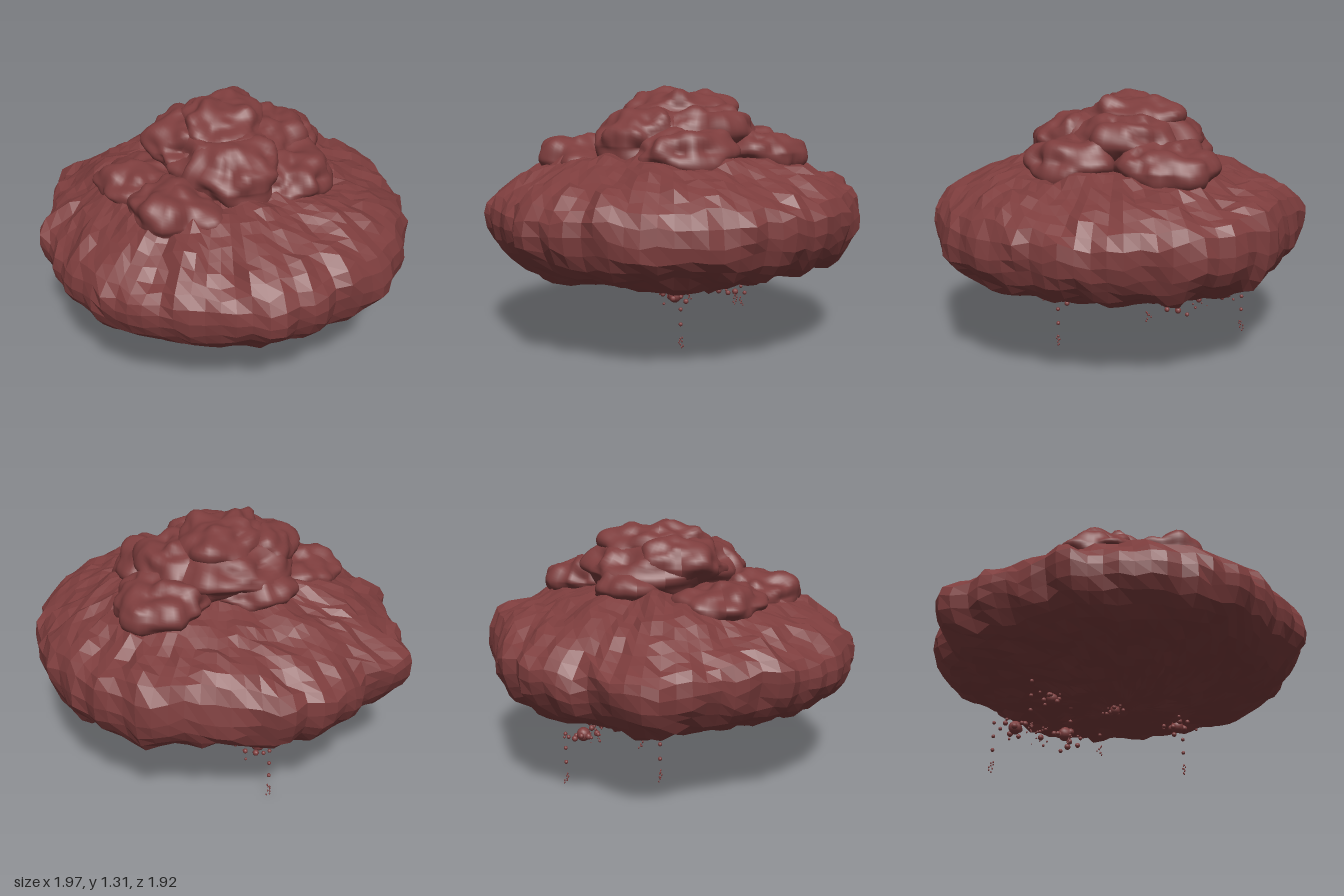
import * as THREE from 'three';

const material = new THREE.MeshStandardMaterial({ color: 0x7d3d3d, flatShading: true, side: THREE.DoubleSide });
const smoothMaterial = new THREE.MeshStandardMaterial({ color: 0x7d3d3d });

// Smooth value noise in the range -1..1
const hash = (x, y, z) => {
  const s = Math.sin(x * 127.1 + y * 311.7 + z * 74.7) * 43758.5453;
  return (s - Math.floor(s)) * 2 - 1;
};
const fade = t => t * t * (3 - 2 * t);
const mix = THREE.MathUtils.lerp;
function noise(x, y, z) {
  const [i, j, k] = [x, y, z].map(Math.floor);
  const u = fade(x - i), v = fade(y - j), w = fade(z - k);
  const row = (b, c) => mix(hash(i, b, c), hash(i + 1, b, c), u);
  return mix(mix(row(j, k), row(j + 1, k), v), mix(row(j, k + 1), row(j + 1, k + 1), v), w);
}

function moveVertices(geometry, rule) {
  const p = geometry.attributes.position, v = new THREE.Vector3();
  for (let i = 0; i < p.count; i++) {
    v.fromBufferAttribute(p, i);
    rule(v);
    p.setXYZ(i, v.x, v.y, v.z);
  }
  geometry.computeVertexNormals();
  return geometry;
}

// Outline radius every 15 degrees, from +x towards +z
const rim = [1.0, 1.01, 1.02, 0.98, 1.02, 0.98, 0.97, 1, 0.99, 0.96, 0.98, 0.92,
  0.98, 1.06, 0.94, 1.0, 1.0, 0.95, 0.97, 1.01, 1.01, 1.02, 1, 1];
function rimRadius(angle) {
  const t = ((angle / (Math.PI * 2) + 1) % 1) * rim.length;
  const i = Math.floor(t);
  return mix(rim[i % rim.length], rim[(i + 1) % rim.length], t - i);
}

// Broad, faceted main mass: a turned profile roughened by noise
function cloudBody() {
  const profile = [[0, 0.29], [0.3, 0.305], [0.57, 0.35], [0.78, 0.4], [0.9, 0.46], [0.97, 0.55],
    [0.99, 0.64], [0.97, 0.72], [0.9, 0.78], [0.76, 0.86], [0.6, 0.93], [0.42, 0.97], [0, 1]];
  const curve = new THREE.SplineCurve(profile.map(([r, y]) => new THREE.Vector2(r, y)));
  const points = curve.getSpacedPoints(34);
  points[0].x = points[34].x = 0;
  const geometry = moveVertices(new THREE.LatheGeometry(points, 84), v => {
    const { x, y, z } = v;
    const r = Math.hypot(x, z) || 1;
    const angle = Math.atan2(z, x);
    const ridge = noise(x / r * 11 + 40, y * 7, z / r * 11);
    const teeth = Math.cos(angle * 28 + 2 * noise(1, y * 6, 1));
    const swell = rimRadius(angle) * (0.975 + 0.025 * ridge + 0.012 * teeth);
    v.x *= swell;
    v.z *= swell;
    // The upper side leans up towards +x and the back edge
    const upper = THREE.MathUtils.smoothstep(y, 0.6, 0.8);
    v.y += upper * (0.03 * x * r + 0.06 * THREE.MathUtils.smoothstep(-z, 0.72, 0.92));
    v.y += 0.03 * noise(x * 9 + 20, y * 5, z * 9) + 0.02 * noise(x * 17, y * 9, z * 17 + 8);
  });
  return new THREE.Mesh(geometry, material);
}

// Knobbly lump with steep sides and a flattened top
function billow([x, y, z], [rx, ry, rz]) {
  const geometry = moveVertices(new THREE.SphereGeometry(1, 52, 34), v => {
    const n = v.clone();
    const steep = Math.sign(n.y) * Math.abs(n.y) ** 1.3;
    const wide = Math.min(Math.hypot(n.x, n.z) ** -0.3, 1.6);
    v.set(n.x * wide * rx, steep * ry, n.z * wide * rz);
    const a = v.x + x, b = v.y + y, c = v.z + z;
    const bump = 0.05 * noise(a * 8, b * 8, c * 8) + 0.03 * noise(a * 15 + 9, b * 15, c * 15);
    v.addScaledVector(n, bump);
  });
  const mesh = new THREE.Mesh(geometry, smoothMaterial);
  mesh.position.set(x, y, z);
  return mesh;
}

function droplet(x, y, z, r, stretch = 1) {
  const mesh = new THREE.Mesh(new THREE.SphereGeometry(r, 10, 7), smoothMaterial);
  mesh.position.set(x, y, z);
  mesh.scale.y = stretch;
  return mesh;
}

export function createModel() {
  const group = new THREE.Group();
  const add = (name, object, parent = group) => {
    object.name = name;
    parent.add(object);
    return object;
  };
  add('cloudBody', cloudBody());

  // Billows heaped on top, merging into one mound
  const crown = add('crown', new THREE.Group());
  [
    [[-0.02, 1.05, -0.06], [0.36, 0.17, 0.4]],
    [[-0.01, 1.17, -0.07], [0.22, 0.14, 0.29]],
    [[-0.19, 1.09, 0.02], [0.19, 0.14, 0.26]],
    [[0.16, 1.06, -0.14], [0.23, 0.15, 0.29]],
    [[0.2, 0.97, -0.38], [0.25, 0.13, 0.25]],
    [[0.36, 0.97, 0.04], [0.19, 0.13, 0.26]],
    [[0.1, 1.01, 0.2], [0.27, 0.16, 0.24]],
    [[-0.34, 0.93, 0.2], [0.24, 0.1, 0.24]],
    [[-0.12, 0.92, 0.44], [0.24, 0.12, 0.2]],
    [[-0.15, 0.98, -0.2], [0.24, 0.14, 0.22]],
  ].forEach(([at, size], i) => add('billow' + i, billow(at, size), crown));

  // Clusters of beads under the body: x, y, z, size of the largest bead
  const beads = add('beads', new THREE.Group());
  [
    [-0.27, 0.24, -0.47, 0.036], [-0.02, 0.24, -0.35, 0.038], [0.38, 0.28, 0.1, 0.034],
    [-0.36, 0.28, -0.1, 0.028], [-0.03, 0.28, 0.02, 0.026], [-0.15, 0.2, -0.4, 0.016],
  ].forEach(([x, y, z, r], c) => {
    add('bead', droplet(x, y, z, r), beads);
    for (let i = 0; i < 11; i++) {
      const angle = i * 2.4 + c, reach = r * (0.8 + 0.22 * i);
      const size = r * (0.5 - 0.03 * i);
      const drop = c === 1 || c === 5 ? 0.07 : 0.03;
      add('bead', droplet(x + Math.cos(angle) * reach, y + drop * hash(i, c, 1),
        z + Math.sin(angle) * reach, size), beads);
    }
  });

  // Thin falling drips ending in a spray of tiny flecks: x, z, lowest point
  const drips = add('drips', new THREE.Group());
  [[-0.34, -0.56, 0], [0.44, 0.09, 0.03], [-0.5, -0.1, 0.06], [-0.16, -0.17, 0.11], [0.2, -0.3, 0.16]]
    .forEach(([x, z, low], d) => {
      for (let y = low + 0.12; y < 0.34; y += 0.075) add('drip', droplet(x, y, z, 0.01), drips);
      for (let i = 0; i < 8; i++) {
        add('fleck', droplet(x + 0.012 * hash(i, d, 2), low + 0.006 + i * 0.007,
          z + 0.012 * hash(i, d, 3), 0.004, 1.5), drips);
      }
    });
  return group;
}
